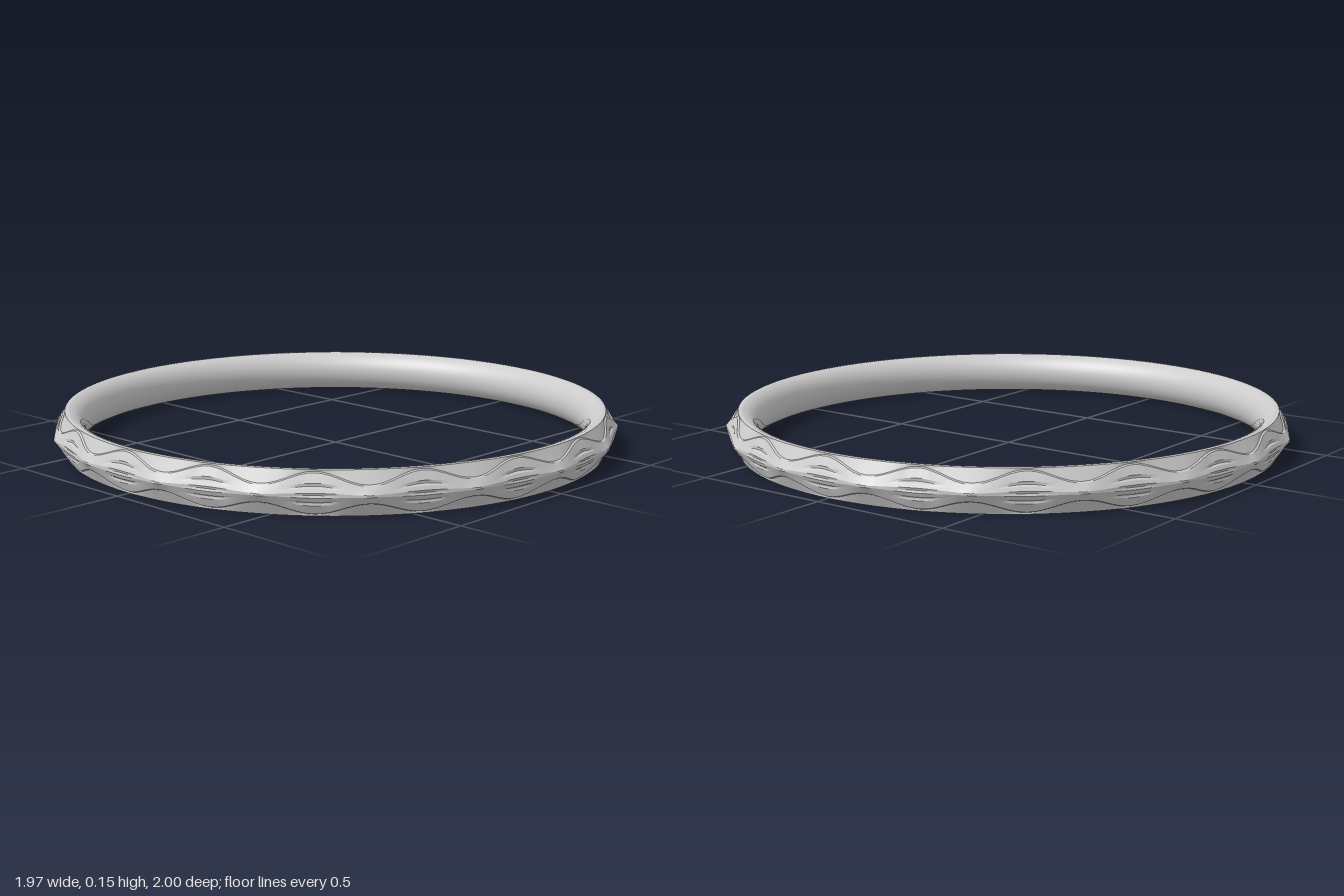
import * as THREE from 'three';
import { toCreasedNormals } from 'three/addons/utils/BufferGeometryUtils.js';

const FACETS = 18, STEPS = 14, MID = 0.075;
const SECTOR = (Math.PI * 2) / FACETS;

// Half of the outer profile, from the middle ridge up to the rim: [radius, height above middle]
function outerHalf(angle) {
  const fromCentre = (angle % SECTOR) - SECTOR / 2;
  const wave = -Math.cos(FACETS * angle);            // 1 at facet centre, -1 at corner
  const ridge = 0.985 / Math.cos(fromCentre);        // flat facets, corners at radius 1
  const h = 0.046 + 0.019 * wave;                    // scalloped edge height
  const edge = 0.9695 - 0.0115 * wave;               // scalloped edge radius
  const groove = 0.006 * Math.max(0, wave);          // leaf-shaped cut on each facet
  const at = (f, depth = 0) => [THREE.MathUtils.lerp(ridge, edge, (f - 0.12) / 0.88) - depth, h * f];
  return [
    [ridge - groove * 0.5, 0], at(0.12), at(0.32), at(0.4, groove), at(0.48, groove * 0.6), at(0.55),
    at(1), [edge - 0.007, h + 0.003], [0.952, 0.073],
  ];
}

// Joins cross-sections around the ring; each profile runs upward on the outside
function sweepRing(profileAt, segments) {
  const pos = [], index = [];
  let n = 0;
  for (let i = 0; i < segments; i++) {
    const a = (i / segments) * Math.PI * 2;
    const profile = profileAt(a);
    n = profile.length;
    for (const [r, y] of profile) pos.push(r * Math.sin(a), MID + y, r * Math.cos(a));
  }
  for (let i = 0; i < segments; i++) {
    const p = i * n, q = ((i + 1) % segments) * n;
    for (let j = 0; j < n - 1; j++) {
      index.push(p + j, q + j, q + j + 1, p + j, q + j + 1, p + j + 1);
    }
  }
  const g = new THREE.BufferGeometry();
  g.setAttribute('position', new THREE.Float32BufferAttribute(pos, 3));
  g.setIndex(index);
  return toCreasedNormals(g, 0.3);
}

export function createModel() {
  const group = new THREE.Group();
  group.name = 'facetedBangle';
  const material = new THREE.MeshStandardMaterial({ color: 0xcccccc });
  const add = (name, geometry) => {
    const mesh = new THREE.Mesh(geometry, material);
    mesh.name = name;
    group.add(mesh);
  };

  // Scalloped, faceted outside, mirrored above and below the ridge
  add('facetedOuterBand', sweepRing((a) => {
    const half = outerHalf(a);
    const lower = half.slice(1).reverse().map(([r, y]) => [r, -y]);
    return [...lower, ...half];
  }, FACETS * STEPS));

  // Smooth inside, bulging inward; runs from the top rim down to the bottom rim
  const inner = [];
  for (let k = 0; k <= 16; k++) {
    const t = Math.PI / 2 - (k / 16) * Math.PI;
    inner.push([0.952 - 0.072 * Math.cos(t), (k === 0 || k === 16 ? 0.073 : 0.075) * Math.sin(t)]);
  }
  add('smoothInnerBand', sweepRing(() => inner, FACETS * STEPS));

  return group;
}
